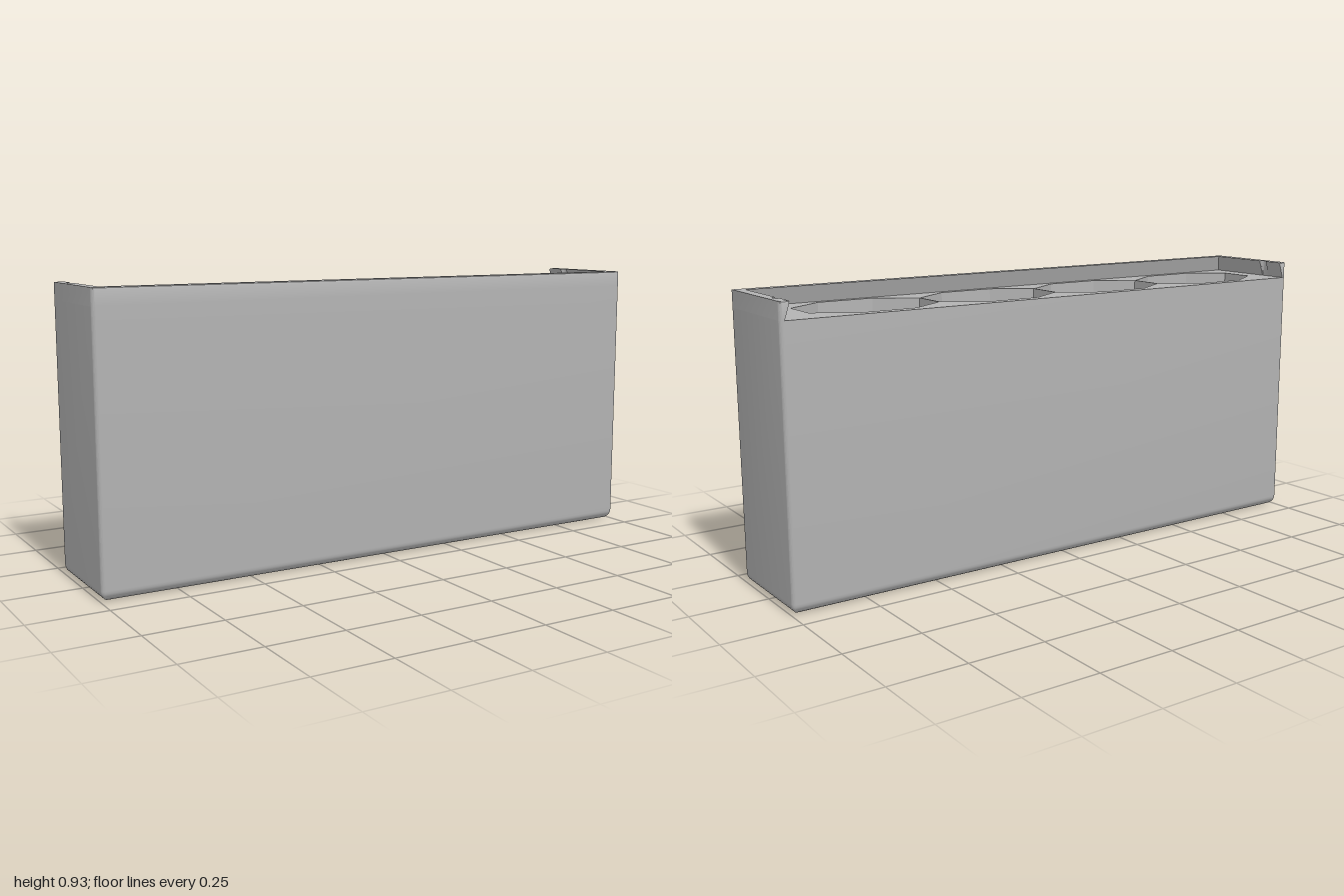
import * as THREE from 'three';
import { toCreasedNormals } from 'three/addons/utils/BufferGeometryUtils.js';

// Plan contours are lists of [x, s] with s = -z, counter-clockwise from above.
const W = 1, D = 0.18, HEIGHT = 0.93, DECK = 0.875, FLOOR = 0.04;
const CORNER = 0.012, BOTTOM_R = 0.035;

// Points of an arc
function arc(cx, cy, r, from, to, steps) {
  const pts = [];
  for (let i = 0; i <= steps; i++) {
    const a = from + (to - from) * i / steps;
    pts.push([cx + r * Math.cos(a), cy + r * Math.sin(a)]);
  }
  return pts;
}

function roundedRect(inset) {
  const r = Math.max(CORNER - inset, 0.002);
  const x = W - inset - r, y = D - inset - r, q = Math.PI / 2;
  return [
    ...arc(x, y, r, 0, q, 5), ...arc(-x, y, r, q, 2 * q, 5),
    ...arc(-x, -y, r, 2 * q, 3 * q, 5), ...arc(x, -y, r, 3 * q, 4 * q, 5),
  ];
}

// Wall through a stack of closed contours: [{ y, pts }]
function loft(rings) {
  const pos = [];
  for (let k = 0; k < rings.length - 1; k++) {
    const lo = rings[k], hi = rings[k + 1], n = lo.pts.length;
    for (let i = 0; i < n; i++) {
      const j = (i + 1) % n;
      const v = (r, m) => [r.pts[m][0], r.y, -r.pts[m][1]];
      const a = v(lo, i), b = v(lo, j), c = v(hi, j), d = v(hi, i);
      pos.push(...a, ...b, ...c, ...a, ...c, ...d);
    }
  }
  const g = new THREE.BufferGeometry();
  g.setAttribute('position', new THREE.Float32BufferAttribute(pos, 3));
  return toCreasedNormals(g, 0.45);
}

const vectors = (pts) => pts.map(([x, y]) => new THREE.Vector2(x, y));

// Flat face at height y, with optional holes
function face(pts, y, holes = [], down = false) {
  const shape = new THREE.Shape(vectors(pts));
  for (const h of holes) shape.holes.push(new THREE.Path(vectors(h)));
  const g = new THREE.ShapeGeometry(shape);
  g.rotateX(down ? Math.PI / 2 : -Math.PI / 2);
  return g.translate(0, y, 0);
}

// Stretched octagon of one compartment
function octagon(cx) {
  const w = 0.221, c = 0.095, d = 0.143, e = 0.062, s = 0.003;
  return [[w, -e], [w, e], [c, d], [-c, d], [-w, e], [-w, -e], [-c, -d], [c, -d]]
    .map(([x, y]) => [cx + x, y + s]);
}

// U-shaped rim, open at the back; t runs from its undercut foot (0) to its top (1)
function rim(t, trim) {
  const inX = 0.985 - 0.018 * t, inFront = -0.16 + 0.018 * t;
  const ox = W - CORNER, oy = D - CORNER, q = Math.PI / 2;
  // inner side with the small round detent notch, walking from front to back
  const half = [[inX, inFront]];
  for (const [dx, dy] of arc(0, 0, 0.016, -q, q, 8)) half.push([inX + dx * t, 0.095 + dy]);
  half.push([inX, D]);
  const mirrored = half.map(([x, y]) => [-x, y]).reverse();
  return [
    ...half.slice().reverse(), ...mirrored.slice().reverse(),
    ...arc(-ox, oy, CORNER, q, 2 * q, 5), ...arc(-ox, -oy, CORNER, 2 * q, 3 * q, 5),
    ...arc(ox, -oy, CORNER, 3 * q, 4 * q, 5), ...arc(ox, oy, CORNER, 0, q, 5),
  ].map(([x, y]) => [x, THREE.MathUtils.clamp(y, -D + trim, D - trim)]).reverse();
}

// Keep a contour counter-clockwise
function ccw(pts) {
  return THREE.ShapeUtils.area(vectors(pts)) < 0 ? pts.slice().reverse() : pts;
}

export function createModel() {
  const model = new THREE.Group();
  model.name = 'slidingLidBox';
  const grey = new THREE.MeshStandardMaterial({ color: 0xb4b4b4 });
  grey.name = 'grey';
  const add = (name, geometry) => {
    const mesh = new THREE.Mesh(geometry, grey);
    mesh.name = name;
    model.add(mesh);
  };

  // Outer shell with rounded bottom edge
  const shell = [];
  for (let i = 0; i <= 7; i++) {
    const a = (i / 7) * Math.PI / 2;
    shell.push({ y: BOTTOM_R * (1 - Math.cos(a)), pts: roundedRect(BOTTOM_R * (1 - Math.sin(a))) });
  }
  shell.push({ y: DECK, pts: roundedRect(0) });
  add('outerShell', loft(shell));
  add('underside', face(roundedRect(BOTTOM_R), 0, [], true));

  // Four deep compartments and the deck around them
  const cells = [0, 1, 2, 3].map((i) => octagon(-0.702 + i * 0.4475));
  add('deck', face(roundedRect(0), DECK, cells));
  cells.forEach((cell, i) => {
    const inward = cell.slice().reverse();
    add(`compartmentWall${i + 1}`, loft([{ y: FLOOR, pts: inward }, { y: DECK, pts: inward }]));
    add(`compartmentFloor${i + 1}`, face(cell, FLOOR));
  });

  // Undercut rim that guides the lid
  const edge = 0.008, mid = 1 - edge / (HEIGHT - DECK);
  add('lidRailWalls', loft([
    { y: DECK, pts: ccw(rim(0, 0)) },
    { y: HEIGHT - edge, pts: ccw(rim(mid, 0)) },
    { y: HEIGHT - edge * 0.3, pts: ccw(rim(1 - (1 - mid) * 0.3, edge * 0.3)) },
    { y: HEIGHT, pts: ccw(rim(1, edge)) },
  ]));
  add('lidRailTop', face(ccw(rim(1, edge)), HEIGHT));
  return model;
}
